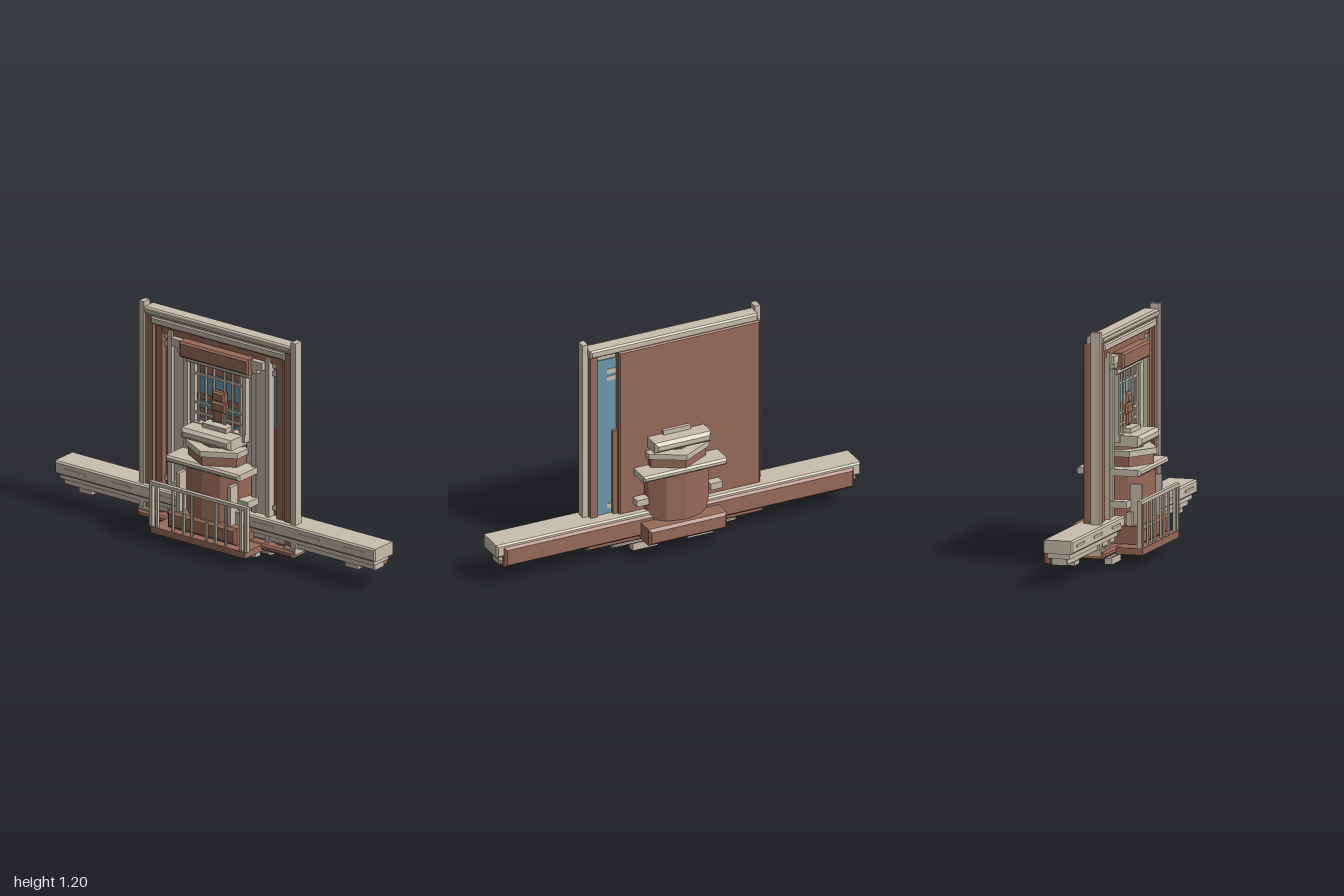
import * as THREE from 'three';

const mat = (color) => new THREE.MeshStandardMaterial({ color, flatShading: true });

export function createModel() {
  const model = new THREE.Group();
  const stone = mat(0xc9bfae), brown = mat(0x986b58), glass = mat(0x6a9bb0);

  const add = (name, geo, material) => {
    const mesh = new THREE.Mesh(geo, material);
    mesh.name = name;
    model.add(mesh);
    return mesh;
  };

  // Box given by its extents, optionally with chamfered edges
  const block = (name, material, x0, x1, y0, y1, z0, z1, bevel = 0) => {
    const w = x1 - x0, h = y1 - y0, d = z1 - z0;
    let geo;
    if (bevel > 0) {
      const a = w / 2 - bevel, b = h / 2 - bevel;
      const shape = new THREE.Shape([
        new THREE.Vector2(-a, -b), new THREE.Vector2(a, -b),
        new THREE.Vector2(a, b), new THREE.Vector2(-a, b)]);
      geo = new THREE.ExtrudeGeometry(shape, {
        depth: d - 2 * bevel, bevelSize: bevel, bevelThickness: bevel, bevelSegments: 1 });
      geo.translate(0, 0, -d / 2 + bevel);
    } else geo = new THREE.BoxGeometry(w, h, d);
    geo.translate((x0 + x1) / 2, (y0 + y1) / 2, (z0 + z1) / 2);
    return add(name, geo, material);
  };

  // The same block on both sides
  const pair = (name, material, x0, x1, ...rest) => {
    block(name + 'Left', material, x0, x1, ...rest);
    block(name + 'Right', material, -x1, -x0, ...rest);
  };

  // Upright prism, stretched to half-widths rx and rz
  const prism = (name, material, sides, rx, rz, y0, y1) => {
    const geo = new THREE.CylinderGeometry(1, 1, y1 - y0, sides);
    geo.scale(rx, 1, rz).translate(0, (y0 + y1) / 2, 0);
    return add(name, geo, material);
  };

  // Feet and base plates
  pair('foot', stone, 0.08, 0.22, 0, 0.055, -0.02, 0.02);
  block('underPlate', stone, -0.34, 0.34, 0.05, 0.075, -0.045, 0.06, 0.008);
  block('basePlate', brown, -0.485, 0.485, 0.07, 0.105, -0.052, 0.067, 0.01);

  // Long horizontal beam: stepped stone front, brown back
  block('beamTop', stone, -1, 1, 0.172, 0.24, -0.088, 0.066, 0.008);
  block('beamStep', stone, -0.98, 0.98, 0.145, 0.172, -0.07, 0.045);
  block('beamLower', stone, -0.97, 0.97, 0.112, 0.145, -0.055, 0.03, 0.005);
  block('beamBack', brown, -0.96, 0.96, 0.115, 0.222, -0.1, -0.05, 0.012);
  pair('beamFootOuter', stone, 0.79, 0.87, 0.096, 0.115, -0.02, 0.035);
  pair('beamFootInner', stone, 0.42, 0.49, 0.085, 0.115, -0.03, 0.05);
  for (const x of [0.3, 0.59, 0.87])
    pair('beamInlay', stone, x - 0.065, x + 0.065, 0.2, 0.212, 0.06, 0.069);

  // Outer door frame
  pair('framePost', stone, 0.458, 0.488, 0.1, 1.2, -0.005, 0.043);
  block('headerTop', stone, -0.46, 0.46, 1.132, 1.174, -0.04, 0.04, 0.008);
  block('headerCap', stone, -0.45, 0.45, 1.15, 1.166, 0.03, 0.05);
  block('headerLower', stone, -0.415, 0.415, 1.095, 1.132, -0.01, 0.046, 0.006);
  pair('pilasterOuter', brown, 0.41, 0.456, 0.1, 1.132, -0.005, 0.034);
  pair('pilasterGap', brown, 0.396, 0.41, 0.1, 1.1, -0.005, 0.01);
  pair('pilasterInner', brown, 0.358, 0.396, 0.1, 1.1, -0.005, 0.026);
  block('headerBand', brown, -0.36, 0.36, 1.052, 1.095, -0.005, 0.022);

  // Back panel stops short on one side, leaving a glazed strip
  block('backPanel', brown, -0.465, 0.31, 0.1, 1.14, -0.052, -0.005, 0.006);
  block('sideGlass', glass, 0.29, 0.42, 0.1, 1.1, -0.015, -0.006);
  block('sideGlassPost', brown, 0.42, 0.456, 0.1, 1.132, -0.03, -0.004);
  block('sideGlassStop', brown, 0.31, 0.335, 0.1, 0.7, -0.035, -0.005);
  for (const y of [0.27, 0.98, 1.02])
    pair('bracket', stone, 0.31, 0.36, y, y + 0.025, -0.018, 0.005);

  // Stone wall around the window
  pair('jambPost', stone, 0.292, 0.316, 0.1, 1.075, -0.005, 0.036);
  pair('wallPanel', stone, 0.222, 0.294, 0.1, 1.04, -0.005, 0.016);
  pair('wallStep', stone, 0.2, 0.225, 0.1, 1.0, -0.005, 0.026);
  pair('wallReveal', stone, 0.155, 0.202, 0.1, 0.98, -0.005, 0.006);
  block('lintel', brown, -0.215, 0.215, 0.975, 1.058, 0, 0.078, 0.01);
  pair('lintelEnd', stone, 0.215, 0.285, 1.01, 1.052, 0, 0.05);
  pair('lintelCorbel', stone, 0.215, 0.25, 0.985, 1.01, 0, 0.045);

  // Window with grille
  block('windowGlass', glass, -0.16, 0.16, 0.62, 0.94, -0.005, 0.003);
  block('windowHead', stone, -0.2, 0.2, 0.945, 0.978, -0.005, 0.04, 0.005);
  block('windowTransom', brown, -0.16, 0.16, 0.9, 0.945, -0.005, 0.012);
  pair('windowJamb', stone, 0.148, 0.172, 0.6, 0.945, -0.005, 0.036);
  block('windowSill', stone, -0.17, 0.17, 0.6, 0.64, -0.005, 0.042);
  pair('windowShelf', brown, 0.045, 0.15, 0.755, 0.785, 0, 0.014);
  pair('windowApron', brown, 0.045, 0.15, 0.66, 0.71, 0, 0.01);
  for (const x of [0.035, 0.085, 0.13])
    pair('grilleBar', stone, x - 0.005, x + 0.005, 0.64, 0.945, 0.02, 0.03);
  for (const y of [0.68, 0.735, 0.885])
    block('grilleRail', stone, -0.155, 0.155, y, y + 0.012, 0.018, 0.028);

  // Lantern in the middle of the window
  block('lanternBody', brown, -0.032, 0.032, 0.665, 0.735, 0.004, 0.04, 0.008);
  block('lanternNeck', brown, -0.045, 0.045, 0.72, 0.775, 0.002, 0.042, 0.01);
  block('lanternHead', brown, -0.04, 0.04, 0.775, 0.828, 0.002, 0.042, 0.01);

  // Tower standing through the wall
  block('towerPlinth', brown, -0.215, 0.215, 0.105, 0.195, -0.198, 0.176, 0.014);
  prism('towerBody', brown, 12, 0.19, 0.166, 0.19, 0.45);
  block('towerCornice', stone, -0.23, 0.23, 0.446, 0.48, -0.168, 0.168, 0.01);
  prism('towerNeck', brown, 6, 0.175, 0.166, 0.48, 0.532);
  prism('towerHexSlab', stone, 6, 0.19, 0.181, 0.53, 0.56);
  prism('towerCollar', brown, 8, 0.13, 0.11, 0.56, 0.582);
  block('towerCap', stone, -0.155, 0.155, 0.58, 0.636, -0.147, 0.147, 0.016);
  block('towerTip', stone, -0.075, 0.075, 0.634, 0.66, -0.07, 0.07);
  pair('towerBracket', stone, 0.17, 0.235, 0.285, 0.32, -0.1, 0.1);
  pair('towerPost', stone, 0.15, 0.17, 0.195, 0.4, 0.095, 0.155);
  pair('towerPostStep', stone, 0.17, 0.2, 0.195, 0.26, 0.085, 0.115);

  // Balcony with railing along its front edge
  block('balconyFloor', brown, -0.295, 0.295, 0.066, 0.1, 0.05, 0.2);
  block('railTop', stone, -0.305, 0.305, 0.318, 0.336, 0.176, 0.198);
  pair('railEndPost', stone, 0.287, 0.305, 0.1, 0.32, 0.176, 0.198);
  pair('railInnerPost', stone, 0.255, 0.269, 0.1, 0.32, 0.179, 0.195);
  for (const x of [0.045, 0.1, 0.165])
    pair('baluster', stone, x - 0.005, x + 0.005, 0.1, 0.32, 0.182, 0.192);

  return model;
}
